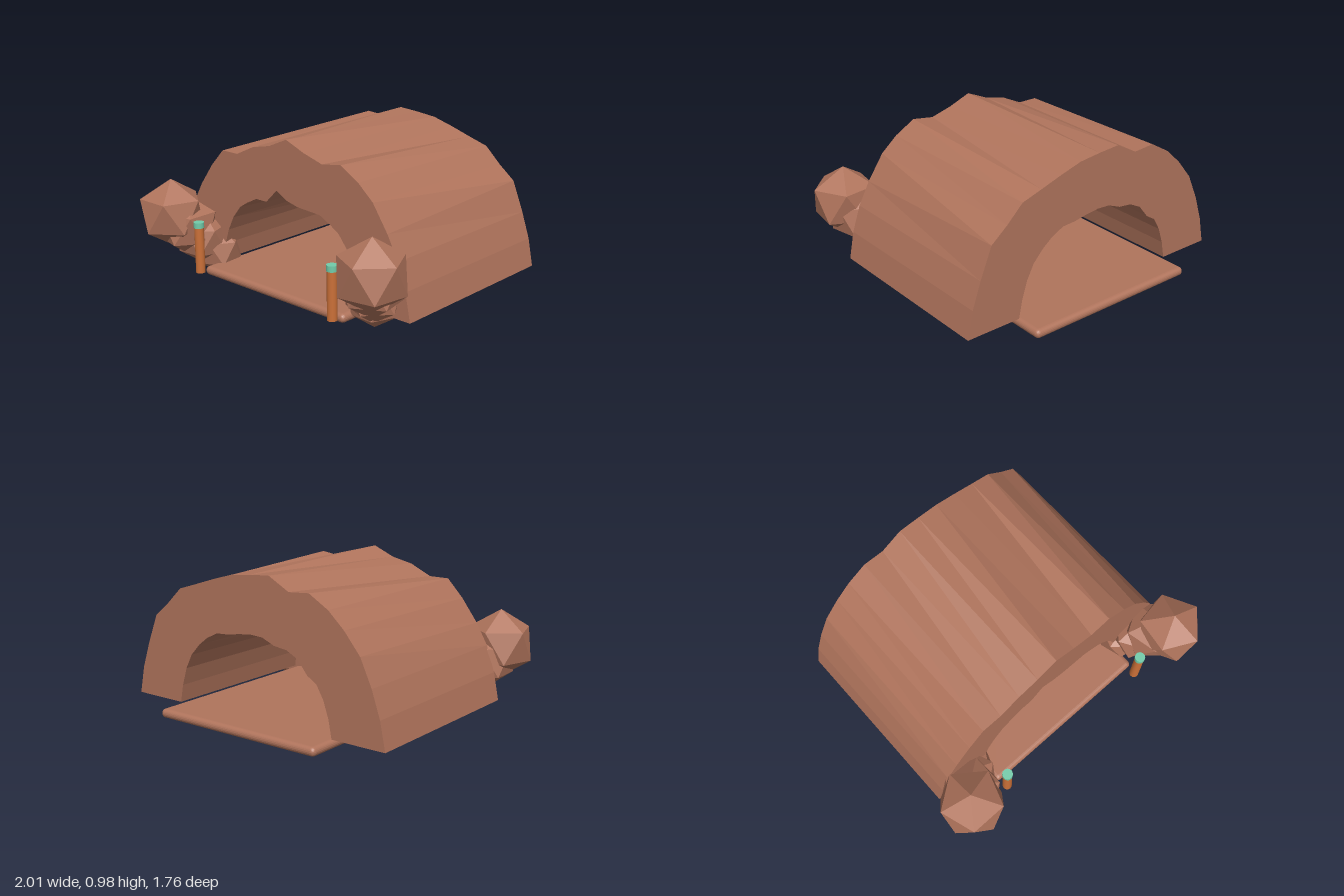
import * as THREE from 'three';
import { RoundedBoxGeometry } from 'three/addons/geometries/RoundedBoxGeometry.js';

const material = (name, color, flatShading = false) => {
  const m = new THREE.MeshStandardMaterial({ color, flatShading });
  m.name = name;
  return m;
};

// Rough vault: half-widths shared by both ends, heights listed from -x to +x
const HALF = [0.925, 0.89, 0.835, 0.76, 0.655, 0.55, 0.42, 0.28, 0.14, 0];
const XS = [...HALF.map(x => -x), ...HALF.slice(0, -1).reverse()];
const FRONT_Z = 0.5, BACK_Z = -0.705;
const OUTER_FRONT = [0.11, 0.28, 0.44, 0.57, 0.71, 0.82, 0.82, 0.885, 0.915, 0.975,
  0.92, 0.88, 0.9, 0.825, 0.735, 0.58, 0.44, 0.28, 0.11];
const OUTER_BACK = [0.11, 0.28, 0.44, 0.6, 0.725, 0.82, 0.895, 0.885, 0.96, 0.95,
  0.935, 0.895, 0.85, 0.81, 0.71, 0.625, 0.44, 0.28, 0.11];
const INNER_FRONT = [0.11, 0.22, 0.32, 0.41, 0.49, 0.53, 0.57, 0.57, 0.655, 0.61,
  0.59, 0.585, 0.58, 0.54, 0.5, 0.42, 0.33, 0.22, 0.11];
const INNER_BACK = [0.11, 0.22, 0.32, 0.4, 0.44, 0.52, 0.56, 0.57, 0.605, 0.61,
  0.6, 0.585, 0.58, 0.54, 0.49, 0.42, 0.33, 0.22, 0.11];

function archGeometry() {
  const profile = (ys, scale, z) => ys.map((y, i) => [XS[i] * scale, y, z]);
  const of = profile(OUTER_FRONT, 1, FRONT_Z), ob = profile(OUTER_BACK, 1, BACK_Z);
  const inf = profile(INNER_FRONT, 0.62, FRONT_Z), inb = profile(INNER_BACK, 0.62, BACK_Z);
  const pos = [];
  const quad = (a, b, c, d) => pos.push(...a, ...b, ...c, ...a, ...c, ...d);
  const last = XS.length - 1;
  for (let i = 0; i < last; i++) {
    const j = i + 1;
    quad(of[i], of[j], ob[j], ob[i]);      // roof
    quad(inf[j], inf[i], inb[i], inb[j]);  // ceiling
    quad(of[i], inf[i], inf[j], of[j]);    // front face
    quad(ob[j], inb[j], inb[i], ob[i]);    // back face
  }
  quad(of[0], ob[0], inb[0], inf[0]);      // feet
  quad(inf[last], inb[last], ob[last], of[last]);
  const g = new THREE.BufferGeometry();
  g.setAttribute('position', new THREE.Float32BufferAttribute(pos, 3));
  g.computeVertexNormals();
  return g;
}

// Icosahedron standing on one corner
function rockGeometry(radius, yaw) {
  const g = new THREE.IcosahedronGeometry(radius, 0);
  g.rotateZ(Math.atan(2 / (1 + Math.sqrt(5))));
  g.rotateY(yaw);
  return g;
}

export function createModel() {
  const model = new THREE.Group();
  model.name = 'tunnelEntrance';
  const clay = material('clay', 0xb0745c, true);
  const smoothClay = clay;
  const wood = material('orange wood', 0xcb7038);
  const teal = material('teal', 0x72ccaa);

  const add = (parent, name, geometry, mat, x = 0, y = 0, z = 0) => {
    const mesh = new THREE.Mesh(geometry, mat);
    mesh.name = name;
    mesh.position.set(x, y, z);
    parent.add(mesh);
    return mesh;
  };

  add(model, 'arch', archGeometry(), clay);
  add(model, 'floor', new RoundedBoxGeometry(1.16, 0.055, 1.525, 3, 0.027), smoothClay, 0, 0.078, -0.108);

  for (const side of [-1, 1]) {
    const label = side < 0 ? 'right' : 'left';

    // Rocks shrinking and stepping down towards the opening
    const rocks = new THREE.Group();
    rocks.name = label + 'Rocks';
    model.add(rocks);
    const yaw = side < 0 ? -Math.PI / 2 : Math.PI - 0.15;
    const count = 4;
    for (let i = 0; i < count; i++) {
      const t = i / (count - 1);
      const mix = (a, b) => THREE.MathUtils.lerp(a, b, t);
      add(rocks, 'rock', rockGeometry(mix(0.216, 0.155), yaw + i * 0.35), clay,
        side * mix(0.82, 0.65), mix(0.414, 0.155), mix(0.695, 0.47));
    }

    // Marker post with a coloured cap
    const post = new THREE.Group();
    post.name = label + 'Post';
    post.position.set(side * 0.55, 0, 0.71);
    model.add(post);
    add(post, 'postShaft', new THREE.CylinderGeometry(0.029, 0.029, 0.29, 16), wood, 0, 0.235, 0);
    add(post, 'postCap', new THREE.CylinderGeometry(0.032, 0.032, 0.035, 16), teal, 0, 0.395, 0);
  }
  return model;
}
